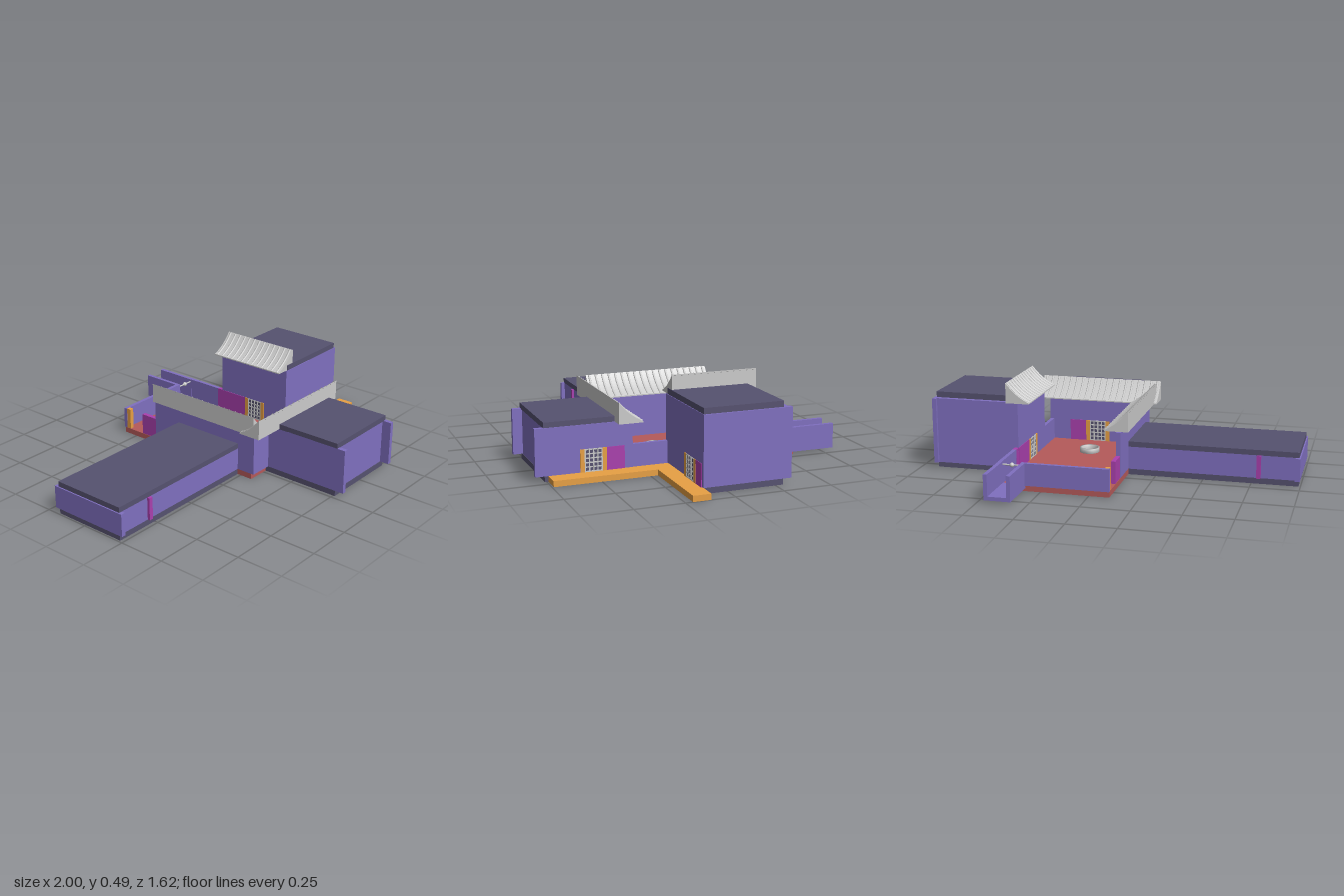
import * as THREE from 'three';

const mat = (color) => new THREE.MeshStandardMaterial({ color });
const grey = mat(0xcccccc), purple = mat(0x8070c0), dark = mat(0x565270);
const red = mat(0xb55a5a), orange = mat(0xe8a044), magenta = mat(0xaa40ae);

// Box from its two extents along each axis
function box(parent, name, material, x0, x1, y0, y1, z0, z1) {
  const mesh = new THREE.Mesh(new THREE.BoxGeometry(x1 - x0, y1 - y0, z1 - z0), material);
  mesh.position.set((x0 + x1) / 2, (y0 + y1) / 2, (z0 + z1) / 2);
  mesh.name = name;
  parent.add(mesh);
  return mesh;
}

// Concave lean-to roof: low edge at local x = 0, high edge at +x, running along z
function tileRoof(name, length, x, y, z, turn) {
  const group = new THREE.Group();
  group.name = name;
  const depth = 0.125, height = 0.106;
  const shape = new THREE.Shape();
  shape.moveTo(0, 0);
  shape.lineTo(depth, 0);
  shape.lineTo(depth, height);
  shape.quadraticCurveTo(0.07, 0.035, 0, 0.006);
  const slab = new THREE.Mesh(
    new THREE.ExtrudeGeometry(shape, { depth: length, bevelEnabled: false, curveSegments: 8 }), grey);
  slab.position.z = -length / 2;
  slab.name = 'roofSlab';
  group.add(slab);
  const slope = new THREE.QuadraticBezierCurve3(
    new THREE.Vector3(0.002, 0.006, 0), new THREE.Vector3(0.07, 0.035, 0),
    new THREE.Vector3(depth - 0.002, height - 0.002, 0));
  const ribGeometry = new THREE.TubeGeometry(slope, 8, 0.006, 8);
  const count = Math.round(length / 0.036);
  for (let i = 0; i < count; i++) {
    const rib = new THREE.Mesh(ribGeometry, grey);
    rib.position.z = ((i + 0.5) / count - 0.5) * length;
    rib.name = 'tileRib';
    group.add(rib);
  }
  group.position.set(x, y, z);
  group.rotation.y = turn;
  return group;
}

// Lattice window in an orange surround with a door panel beside it, facing local +z
function entrance(x, z, turn, panelFrom, panelTo) {
  const group = new THREE.Group();
  group.name = 'entrance';
  const y0 = 0.03, y1 = 0.146, half = 0.046;
  for (const s of [-1, 1]) {
    box(group, 'frameSide', orange, s * 0.057 - 0.011, s * 0.057 + 0.011, y0, y1, -0.012, 0.004);
  }
  box(group, 'latticeBacking', dark, -half, half, y0, y1, -0.012, 0.001);
  for (let i = 0; i < 5; i++) {
    const c = -half + 0.003 + (i / 4) * (2 * half - 0.006);
    box(group, 'latticeUpright', grey, c - 0.003, c + 0.003, y0, y1, 0, 0.004);
  }
  for (let i = 0; i < 6; i++) {
    const c = y0 + 0.003 + (i / 5) * (y1 - y0 - 0.006);
    box(group, 'latticeRail', grey, -half, half, c - 0.003, c + 0.003, 0, 0.003);
  }
  box(group, 'doorPanel', magenta, panelFrom, panelTo, y0, y1, -0.012, 0.003);
  group.position.set(x, 0, z);
  group.rotation.y = turn;
  return group;
}

export function createModel() {
  const model = new THREE.Group();
  model.name = 'courtyardHouse';
  const add = (...args) => box(model, ...args);

  // Ground slabs
  add('courtyardFloor', red, -0.105, 0.455, 0, 0.03, -0.582, 0.32);
  add('wingFloor', dark, -0.99, -0.105, 0, 0.03, -0.18, 0.23);
  add('frontFloor', dark, 0.02, 0.465, 0, 0.03, 0.32, 0.76);
  add('eastFloor', dark, 0.455, 0.91, 0, 0.03, -0.29, 0.122);
  add('frontPath', orange, 0.465, 0.557, 0, 0.03, 0.122, 0.742);
  add('eastPath', orange, 0.557, 1, 0, 0.03, 0.122, 0.213);

  // Long low wing
  for (const z of [-0.17, 0.22]) {
    add('wingSideWall', purple, -0.98, -0.1, 0.03, 0.15, z - 0.01, z + 0.01);
    const out = Math.sign(z) * 0.012;
    add('wingDoor', magenta, -0.798, -0.776, 0.03, 0.15, z - 0.012 + out, z + 0.012 + out);
  }
  add('wingEndWall', purple, -0.997, -0.972, 0.03, 0.15, -0.2, 0.25);
  add('wingRoof', dark, -0.99, -0.1, 0.15, 0.178, -0.18, 0.23);

  // Front block
  add('frontSideWall', purple, 0.02, 0.043, 0.03, 0.268, 0.32, 0.808);
  add('frontSideWall', purple, 0.447, 0.47, 0.03, 0.268, 0.32, 0.808);
  add('frontWall', purple, 0.04, 0.45, 0.03, 0.268, 0.735, 0.757);
  add('frontRoof', dark, 0.02, 0.465, 0.266, 0.295, 0.32, 0.762);

  // East block
  add('eastOuterWall', purple, 0.898, 0.92, 0.033, 0.382, -0.328, 0.125);
  add('eastBackWall', purple, 0.45, 0.92, 0.033, 0.382, -0.312, -0.288);
  add('eastFrontWall', purple, 0.45, 0.92, 0.033, 0.382, 0.105, 0.128);
  add('eastInnerWall', purple, 0.447, 0.47, 0.03, 0.382, -0.328, 0.128);
  add('eastRoof', dark, 0.46, 0.91, 0.38, 0.412, -0.285, 0.125);

  // Courtyard walls
  add('westWall', purple, -0.105, -0.08, 0.03, 0.268, -0.35, 0.335);
  add('southWall', purple, -0.1, 0.47, 0.03, 0.268, 0.312, 0.335);
  add('eastLowWall', purple, 0.447, 0.467, 0.03, 0.146, 0.12, 0.32);
  add('eastLowWall', purple, 0.447, 0.467, 0.03, 0.146, -0.59, -0.36);
  add('northWall', purple, -0.105, 0.335, 0.03, 0.146, -0.59, -0.57);
  add('westGatePanel', magenta, -0.103, -0.08, 0.03, 0.146, -0.452, -0.35);
  add('westGatePost', orange, -0.103, -0.08, 0.03, 0.146, -0.57, -0.545);
  add('eastGatePanel', magenta, 0.446, 0.468, 0.03, 0.146, -0.362, -0.328);

  // Open channel at the back
  for (const x of [0.328, 0.445]) {
    add('channelWall', purple, x, x + 0.02, 0.015, 0.146, -0.81, -0.57);
  }
  add('channelFloor', purple, 0.34, 0.455, 0.015, 0.035, -0.81, -0.58);
  const rod = new THREE.Mesh(new THREE.CylinderGeometry(0.004, 0.004, 0.1, 10), grey);
  rod.rotation.z = Math.PI / 2;
  rod.position.set(0.397, 0.13, -0.577);
  rod.name = 'channelRod';
  const knob = new THREE.Mesh(new THREE.SphereGeometry(0.012, 16, 10), grey);
  knob.position.copy(rod.position);
  knob.name = 'rodKnob';
  model.add(rod, knob);

  // Window and door sets, outside then courtyard side
  model.add(entrance(0.763, 0.128, 0, 0.068, 0.138));
  model.add(entrance(0.47, 0.515, Math.PI / 2, 0.068, 0.16));
  model.add(entrance(0.447, -0.09, -Math.PI / 2, -0.235, -0.068));
  model.add(entrance(0.19, 0.312, Math.PI, -0.16, -0.068));

  // Ribbed roofs sloping into the courtyard
  model.add(tileRoof('eastTileRoof', 0.455, 0.385, 0.382, -0.105, 0));
  model.add(tileRoof('westTileRoof', 0.69, -0.015, 0.268, 0.012, Math.PI));
  model.add(tileRoof('southTileRoof', 0.685, 0.188, 0.268, 0.278, -Math.PI / 2));

  // Round well
  const ring = [[0.044, 0], [0.054, 0], [0.054, 0.025], [0.044, 0.025], [0.044, 0]]
    .map(([r, y]) => new THREE.Vector2(r, y));
  const well = new THREE.Mesh(new THREE.LatheGeometry(ring, 32), grey);
  well.position.set(0.177, 0.03, 0.087);
  well.name = 'well';
  model.add(well);

  return model;
}
